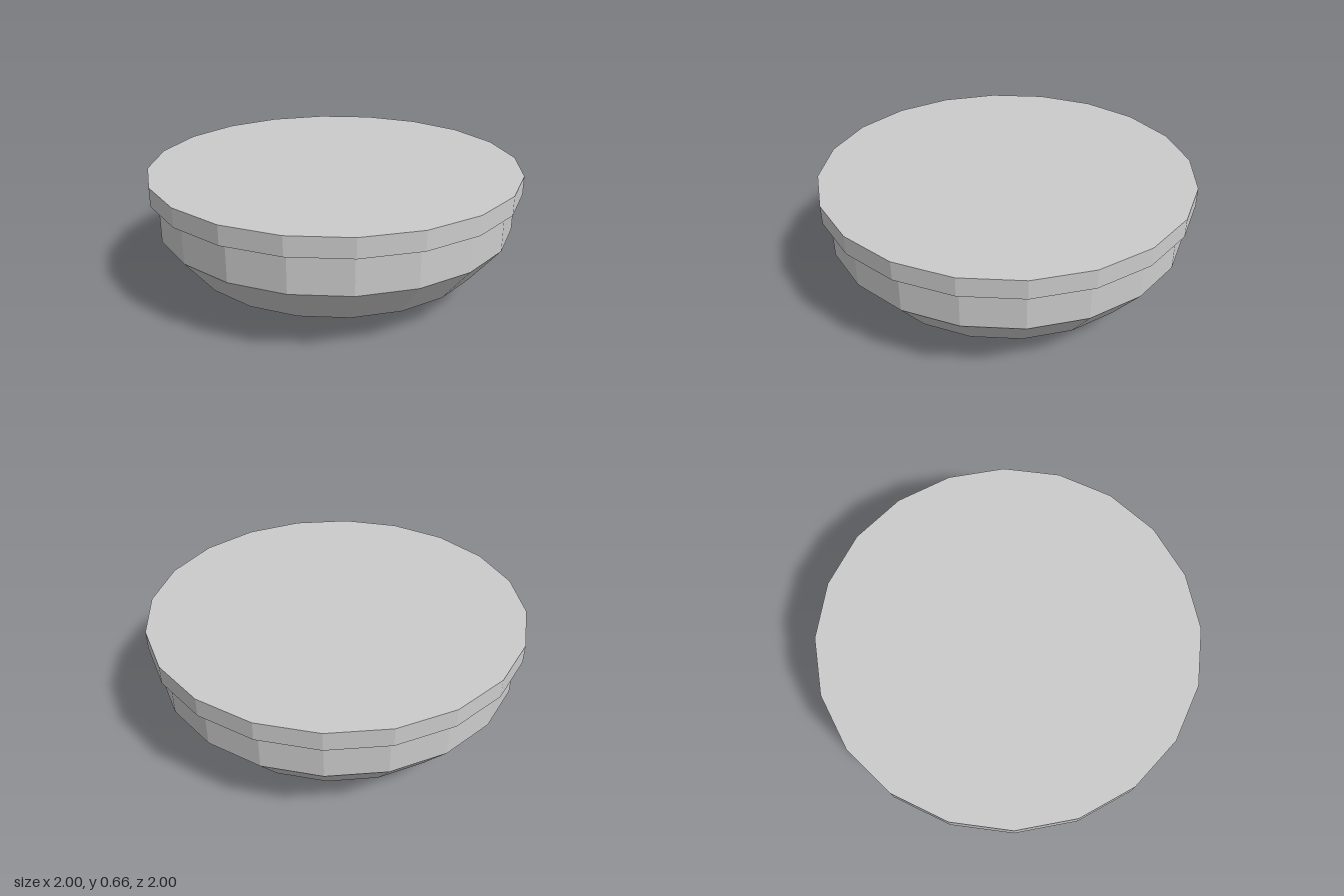
import * as THREE from 'three';

const SIDES = 20;

export function createModel() {
  const group = new THREE.Group();
  const material = new THREE.MeshStandardMaterial({ color: 0xcccccc, flatShading: true });

  const add = (name, geometry, y = 0) => {
    const mesh = new THREE.Mesh(geometry, material);
    mesh.name = name;
    mesh.position.y = y;
    group.add(mesh);
  };

  // Faceted bowl: flat base, two sloping bands and an upright wall
  const profile = [[0, 0], [0.4, 0], [0.8, 0.163], [0.96, 0.363], [0.96, 0.563]]
    .map(([r, y]) => new THREE.Vector2(r, y));
  add('bowl', new THREE.LatheGeometry(profile, SIDES));

  // Flat disc lid that overhangs the wall slightly
  const lidHeight = 0.1;
  add('lid', new THREE.CylinderGeometry(1, 1, lidHeight, SIDES), 0.563 + lidHeight / 2);

  return group;
}
